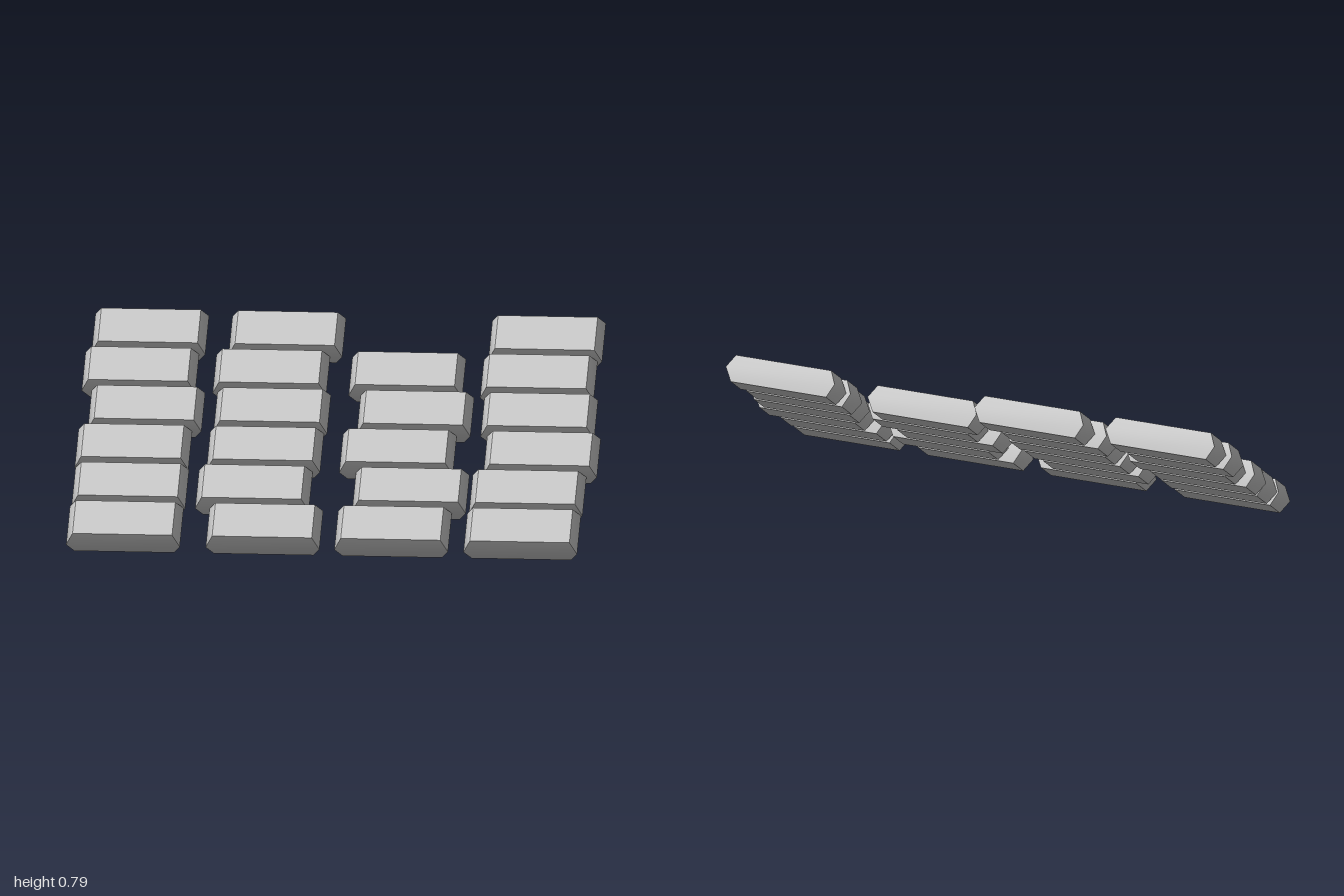
import * as THREE from 'three';

const WIDTH = 0.434, DEPTH = 0.19, THICK = 0.104; // size at the bulging middle
const INSET_X = 0.027, INSET_Z = 0.0135;          // taper towards the flat faces
const TILT = THREE.MathUtils.degToRad(40);

// Sideways centre of each brick, one row per column, from bottom to top
const COLUMNS = [
  [-0.783, -0.777, -0.78, -0.745, -0.783, -0.76],
  [-0.25, -0.305, -0.277, -0.265, -0.283, -0.237],
  [0.241, 0.294, 0.23, 0.282, 0.236],
  [0.734, 0.74, 0.78, 0.755, 0.738, 0.755],
];

// Box with a middle ring; top and bottom pulled in, so each side swells smoothly
function brickGeometry() {
  const geo = new THREE.BoxGeometry(WIDTH, THICK, DEPTH, 1, 2, 1);
  const p = geo.attributes.position;
  for (let i = 0; i < p.count; i++) {
    if (Math.abs(p.getY(i)) < 0.001) continue;
    p.setX(i, p.getX(i) - Math.sign(p.getX(i)) * INSET_X);
    p.setZ(i, p.getZ(i) - Math.sign(p.getZ(i)) * INSET_Z);
  }
  geo.computeVertexNormals();
  return geo;
}

export function createModel() {
  const model = new THREE.Group();
  model.name = 'slopingBricks';
  const geometry = brickGeometry();
  const material = new THREE.MeshStandardMaterial({ color: 0xcccccc });

  // Columns of bricks climbing towards the back
  COLUMNS.forEach((centres, c) => {
    const column = new THREE.Group();
    column.name = `brickColumn${c + 1}`;
    centres.forEach((x, row) => {
      const brick = new THREE.Mesh(geometry, material);
      brick.name = `brick${row + 1}`;
      brick.position.set(x, 0.095 + row * 0.1218, 0.363 - row * 0.1452);
      brick.rotation.x = TILT;
      column.add(brick);
    });
    model.add(column);
  });
  return model;
}
